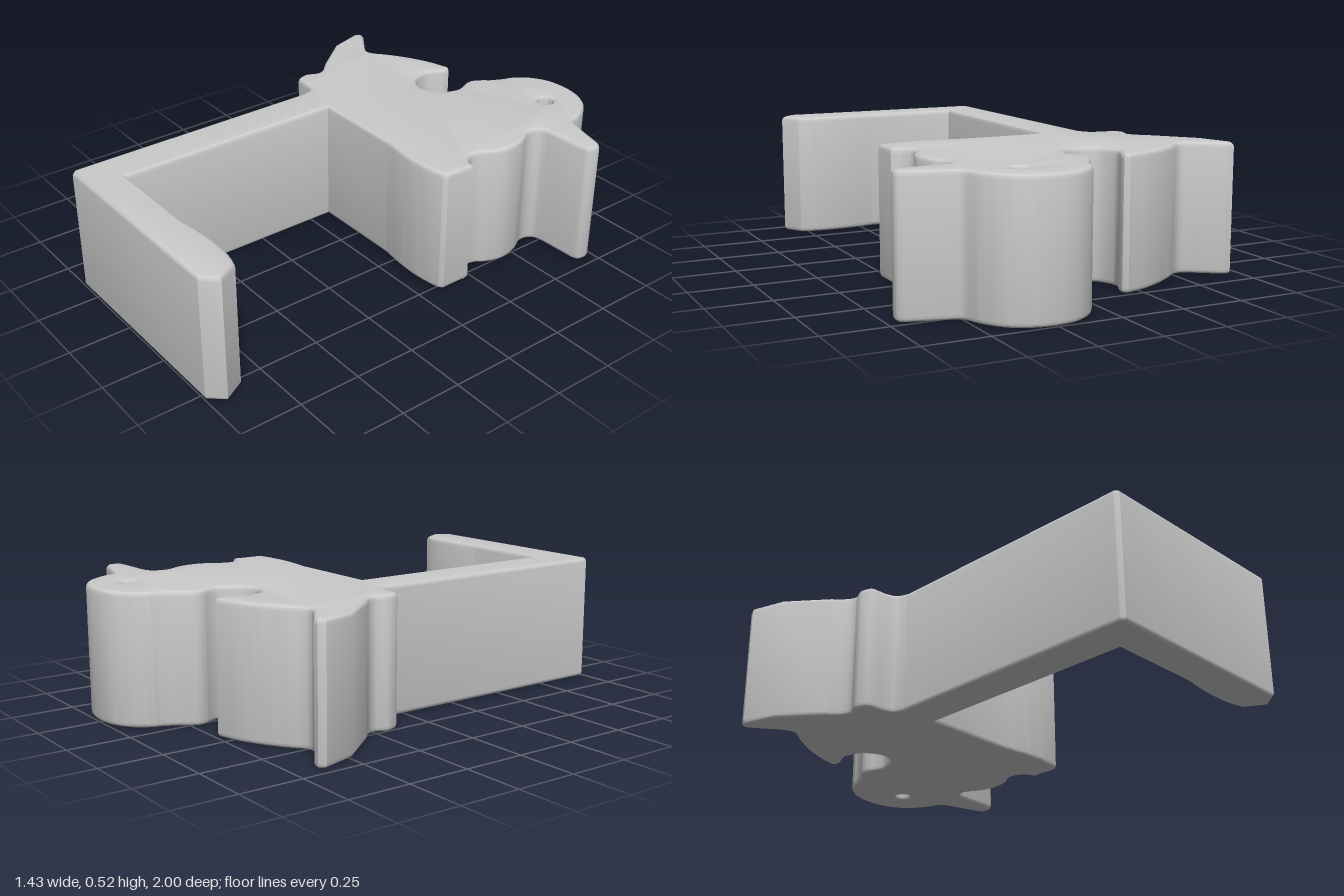
import * as THREE from 'three';
import { toCreasedNormals } from 'three/addons/utils/BufferGeometryUtils.js';

const HEIGHT = 0.518, BEVEL = 0.018;

export function createModel() {
  const group = new THREE.Group();
  group.name = 'duckClip';
  const grey = new THREE.MeshStandardMaterial({ color: 0xcacaca });
  grey.name = 'grey';

  // Plan outline in (x, z); shape y is -z so it can be laid flat after extruding
  const s = new THREE.Shape();
  const line = (...pts) => pts.forEach(([x, z]) => s.lineTo(x, -z));
  const curve = (...pts) => s.splineThru(pts.map(([x, z]) => new THREE.Vector2(x, -z)));

  // Lower jaw with pointed tip
  s.moveTo(-0.345, -1);
  line([0.53, 1], [0.583, 0.94], [0.535, 0.855]);
  curve([0.48, 0.84], [0.4, 0.834], [0.3, 0.838], [0.19, 0.852]);
  // Inside of the clamp
  line([-0.197, 0.852], [-0.197, -0.085], [0.19, -0.085]);
  curve([0.29, -0.072], [0.38, -0.068], [0.46, -0.074], [0.515, -0.085]);
  line([0.53, -0.1], [0.53, -0.225]);
  // Chest and neck
  curve([0.492, -0.238], [0.466, -0.275], [0.47, -0.32], [0.495, -0.36], [0.514, -0.43],
    [0.5, -0.51], [0.468, -0.572], [0.464, -0.61], [0.478, -0.638], [0.51, -0.65]);
  // Beak
  line([0.68, -0.656]);
  curve([0.708, -0.668], [0.716, -0.7], [0.71, -0.722], [0.69, -0.737]);
  line([0.53, -0.78]);
  // Head
  curve([0.503, -0.8], [0.475, -0.87], [0.42, -0.945], [0.345, -0.987], [0.26, -1],
    [0.17, -0.987], [0.095, -0.94], [0.053, -0.88], [0.042, -0.845], [0.015, -0.79]);
  // Nape and round notch
  curve([-0.005, -0.765], [-0.026, -0.725], [-0.024, -0.69], [-0.008, -0.655], [0.0, -0.61],
    [-0.03, -0.54], [-0.1, -0.51], [-0.17, -0.54], [-0.2, -0.61], [-0.192, -0.655], [-0.17, -0.7]);
  // Wing tip, back and tail
  line([-0.17, -0.725], [-0.188, -0.74]);
  curve([-0.28, -0.713], [-0.37, -0.67], [-0.45, -0.618], [-0.505, -0.574], [-0.54, -0.566], [-0.575, -0.582]);
  line([-0.68, -0.656], [-0.705, -0.658], [-0.718, -0.63], [-0.675, -0.49], [-0.55, -0.335]);
  // Rump and fillet into the arm
  curve([-0.502, -0.285], [-0.49, -0.245], [-0.508, -0.2], [-0.496, -0.155], [-0.475, -0.142]);
  line([-0.42, -0.14]);
  curve([-0.378, -0.125], [-0.36, -0.08]);
  line([-0.36, 0.985]);
  s.closePath();

  // Eye drilled right through
  const eye = new THREE.Path();
  eye.absarc(0.305, 0.835, 0.034, 0, Math.PI * 2, true);
  s.holes.push(eye);

  const geometry = new THREE.ExtrudeGeometry(s, {
    depth: HEIGHT - 2 * BEVEL, curveSegments: 5, bevelEnabled: true,
    bevelSize: BEVEL, bevelThickness: BEVEL, bevelOffset: -BEVEL, bevelSegments: 4,
  });
  geometry.translate(0, 0, BEVEL);
  geometry.rotateX(-Math.PI / 2);

  const body = new THREE.Mesh(toCreasedNormals(geometry, 0.5), grey);
  body.name = 'duckBodyAndClamp';
  group.add(body);
  return group;
}
